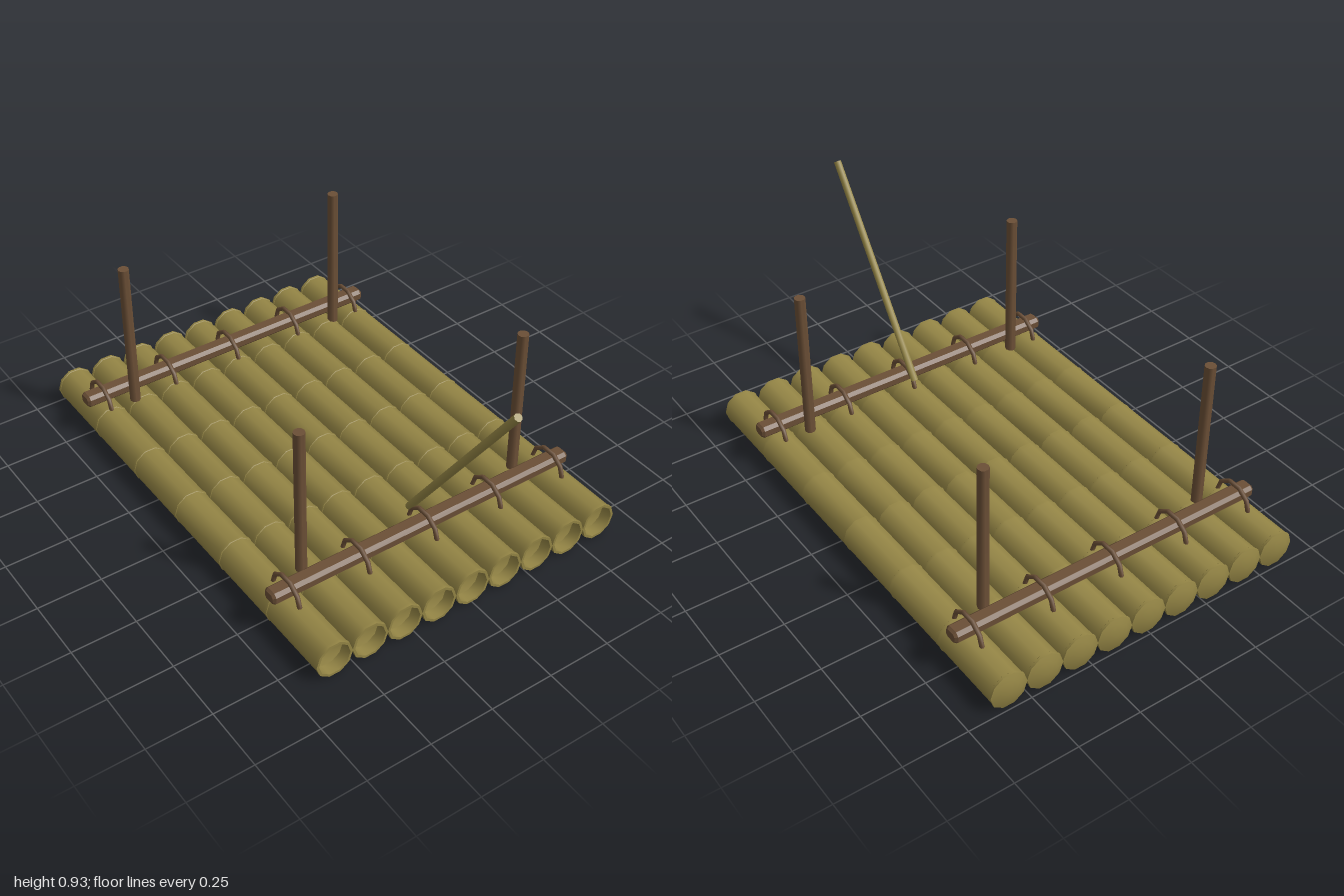
import * as THREE from 'three';
import { toCreasedNormals } from 'three/addons/utils/BufferGeometryUtils.js';

const bamboo = new THREE.MeshStandardMaterial({ color: 0x948545 });
bamboo.name = 'bamboo';
const wood = new THREE.MeshStandardMaterial({ color: 0x6b4f36 });
wood.name = 'brown wood';

function add(parent, name, geometry, material, x = 0, y = 0, z = 0) {
  const mesh = new THREE.Mesh(geometry, material);
  mesh.name = name;
  mesh.position.set(x, y, z);
  parent.add(mesh);
  return mesh;
}

// Ten-sided culm along x: domed at the left end, six joints, hollow at the right end
function logGeometry() {
  const R = 0.073, r = 0.0705, start = -0.98, step = 0.301;
  const profile = [[0, -0.998], [0.045, -0.993], [0.067, -0.985]];
  for (let i = 0; i <= 6; i++) {
    const x = start + i * step;
    if (i > 0) profile.push([r, x - 0.012]);
    profile.push([R, x - 0.003], [R, x + 0.006]);
    if (i < 6) profile.push([r, x + 0.008]);
  }
  profile.push([R, 0.835], [0.063, 0.835], [0.062, 0.79], [0.04, 0.782], [0, 0.778]);
  const points = profile.map(([a, b]) => new THREE.Vector2(a, b));
  const g = new THREE.LatheGeometry(points, 10);
  g.rotateZ(-Math.PI / 2);
  return toCreasedNormals(g, 0.7);
}

// Chamfered bar along z
function beamGeometry() {
  const w = 0.024, h = 0.017, c = 0.008;
  const s = new THREE.Shape();
  s.moveTo(-w, -h + c);
  s.lineTo(-w + c, -h);
  s.lineTo(w - c, -h);
  s.lineTo(w, -h + c);
  s.lineTo(w, h - c);
  s.lineTo(w - c, h);
  s.lineTo(-w + c, h);
  s.lineTo(-w, h - c);
  s.closePath();
  const g = new THREE.ExtrudeGeometry(s, {
    depth: 1.28, bevelEnabled: true, bevelSize: 0.008, bevelThickness: 0.01, bevelSegments: 1,
  });
  g.translate(0, 0, -0.64);
  return g;
}

export function createModel() {
  const raft = new THREE.Group();
  raft.name = 'raft';

  // Deck of nine logs
  const log = logGeometry();
  for (let i = -4; i <= 4; i++) add(raft, 'deckLog', log, bamboo, 0, 0.0745, i * 0.145);

  // Cross beams, each tied down with five lashings
  const beam = beamGeometry();
  const lashing = new THREE.TorusGeometry(0.083, 0.009, 6, 5, Math.PI);
  for (const x of [-0.75, 0.55]) {
    add(raft, 'crossBeam', beam, wood, x, 0.167, 0);
    for (let i = -2; i <= 2; i++) add(raft, 'lashing', lashing, wood, x, 0.133, i * 0.29);
  }

  // Four corner posts
  const post = toCreasedNormals(new THREE.CylinderGeometry(0.021, 0.021, 0.605, 10), 0.7);
  for (const x of [-0.678, 0.477]) {
    for (const z of [-0.47, 0.47]) add(raft, 'post', post, wood, x, 0.4425, z);
  }

  // Leaning steering pole
  const from = new THREE.Vector3(0.468, 0.18, 0);
  const to = new THREE.Vector3(0.985, 0.922, 0);
  const dir = to.clone().sub(from);
  const poleGeo = toCreasedNormals(new THREE.CylinderGeometry(0.015, 0.015, dir.length(), 8), 0.82);
  const pole = add(raft, 'steeringPole', poleGeo, bamboo);
  pole.position.copy(from).add(to).multiplyScalar(0.5);
  pole.quaternion.setFromUnitVectors(new THREE.Vector3(0, 1, 0), dir.normalize());

  return raft;
}
